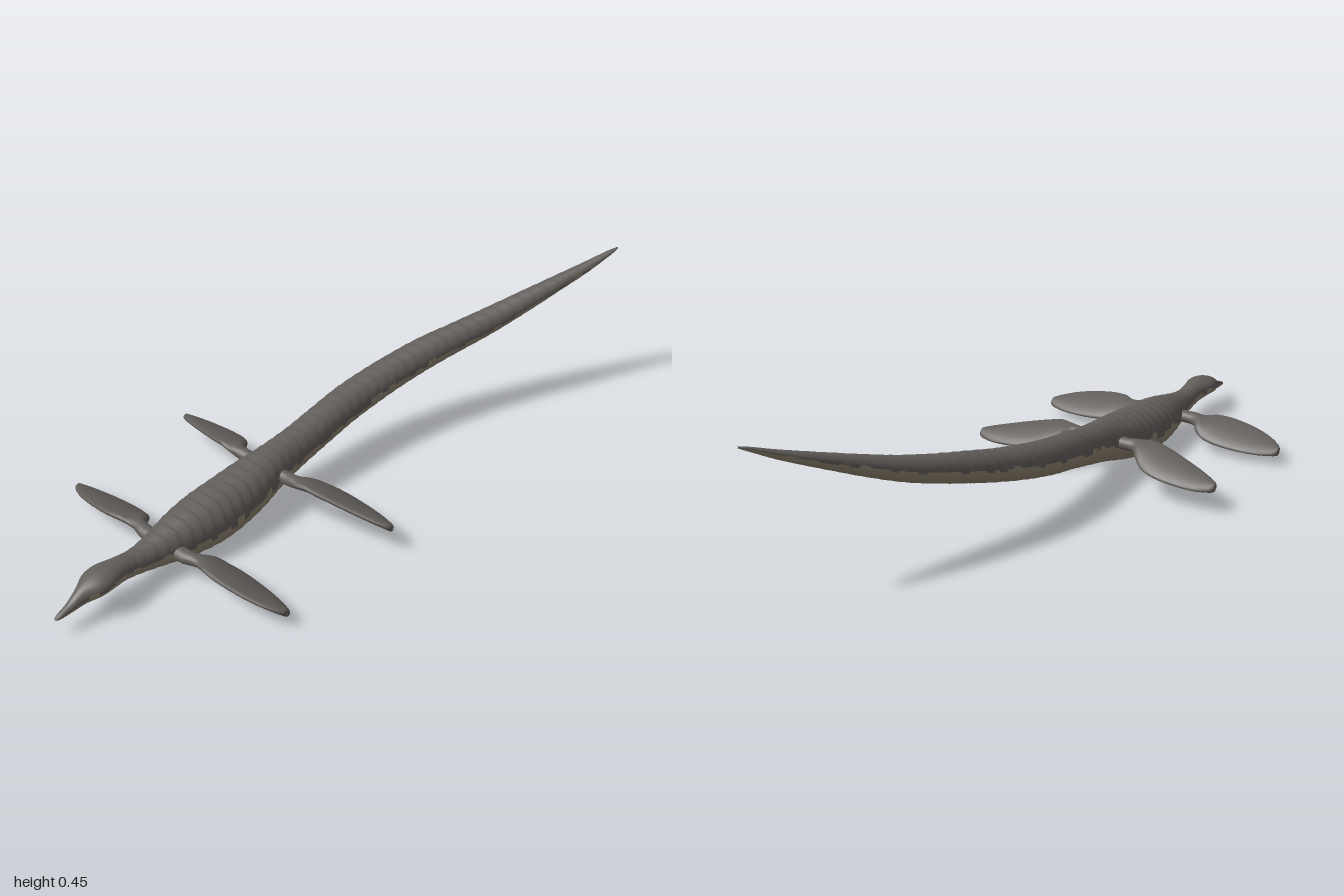
import * as THREE from 'three';

const dark = new THREE.MeshStandardMaterial({ color: 0x625e5b });
dark.name = 'slate back';
const tan = new THREE.MeshStandardMaterial({ color: 0x8f8370 });
tan.name = 'sandy belly';

// repeatable value in 0..1 for each whole number
const hash = (n) => {
  const s = Math.sin(n * 127.1 + 11.7) * 43758.5453;
  return s - Math.floor(s);
};

// skin closed rings: point(i, angle) gives a vertex, isBelly(i, angle) picks the second material
function loft(rows, sides, point, isBelly = () => false) {
  const positions = [], upper = [], lower = [];
  for (let i = 0; i <= rows; i++) {
    for (let j = 0; j < sides; j++) positions.push(...point(i, (j / sides) * Math.PI * 2));
  }
  for (let i = 0; i < rows; i++) {
    for (let j = 0; j < sides; j++) {
      const a = i * sides + j, b = i * sides + ((j + 1) % sides);
      const list = isBelly(i, ((j + 0.5) / sides) * Math.PI * 2) ? lower : upper;
      list.push(a, a + sides, b, b, a + sides, b + sides);
    }
  }
  const geo = new THREE.BufferGeometry();
  geo.setAttribute('position', new THREE.Float32BufferAttribute(positions, 3));
  geo.setIndex([...upper, ...lower]);
  geo.addGroup(0, upper.length, 0);
  geo.addGroup(upper.length, lower.length, 1);
  geo.computeVertexNormals();
  return geo;
}

// body stations from snout to tail tip: z, centre x, bottom y, top y, half width
const stations = [
  [1.0, 0, 0.05, 0.054, 0.003], [0.985, 0, 0.047, 0.061, 0.009],
  [0.95, 0, 0.048, 0.076, 0.014], [0.91, 0, 0.053, 0.101, 0.024],
  [0.87, 0, 0.058, 0.117, 0.044], [0.83, 0, 0.06, 0.123, 0.046],
  [0.78, 0, 0.054, 0.12, 0.036], [0.73, 0, 0.045, 0.114, 0.036],
  [0.68, 0, 0.034, 0.118, 0.042], [0.62, 0, 0.022, 0.13, 0.056],
  [0.55, 0, 0.01, 0.144, 0.072], [0.47, 0, 0.003, 0.155, 0.082],
  [0.39, 0, 0.007, 0.162, 0.082], [0.3, 0, 0.025, 0.172, 0.076],
  [0.2, 0, 0.053, 0.183, 0.06], [0.1, 0, 0.077, 0.194, 0.055],
  [0, 0, 0.1, 0.21, 0.055], [-0.1, 0.0, 0.12, 0.227, 0.055],
  [-0.2, 0.01, 0.142, 0.245, 0.054], [-0.3, 0.028, 0.167, 0.264, 0.052],
  [-0.4, 0.055, 0.194, 0.286, 0.05], [-0.5, 0.09, 0.222, 0.306, 0.046],
  [-0.6, 0.13, 0.254, 0.329, 0.042], [-0.7, 0.174, 0.296, 0.358, 0.036],
  [-0.8, 0.22, 0.343, 0.389, 0.028], [-0.9, 0.267, 0.392, 0.421, 0.019],
  [-0.97, 0.3, 0.432, 0.446, 0.01], [-1.0, 0.313, 0.45, 0.454, 0.003],
];

function makeBody() {
  const v = (x, y, z) => new THREE.Vector3(x, y, z);
  const spine = new THREE.CatmullRomCurve3(
    stations.map(([z, x, lo, hi]) => v(x, (lo + hi) / 2, z)), false, 'catmullrom', 0.5);
  const girth = new THREE.CatmullRomCurve3(
    stations.map(([z, , lo, hi, w]) => v(w, (hi - lo) / 2, z)), false, 'catmullrom', 0.5);
  const rows = 432;
  const rings = [];
  for (let i = 0; i <= rows; i++) {
    rings.push({ c: spine.getPoint(i / rows), r: girth.getPoint(i / rows) });
  }
  const point = (i, a) => {
    const { c, r } = rings[i];
    // overlapping bands of scales behind the head
    const band = (1 - c.z) / 0.036 + 0.12 * Math.sin(a * 5);
    const ridge = c.z < 0.76 ? 0.035 * (band - Math.floor(band) - 0.6) : 0;
    const k = 1 + ridge;
    return [c.x + r.x * k * Math.cos(a), c.y + r.y * k * Math.sin(a), c.z];
  };
  // uneven edge between back and belly, stepping from scale to scale
  const isBelly = (i, a) => {
    const z = rings[i].c.z;
    const patch = Math.floor((1 - z) / 0.024) + (Math.cos(a) > 0 ? 0 : 200);
    return Math.sin(a) < -0.08 + 0.3 * (hash(patch) - 0.3);
  };
  return new THREE.Mesh(loft(rows, 40, point, isBelly), [dark, tan]);
}

// paddle outlines from shoulder to tip: x, rear z, front z
const frontOutline = [
  [0.03, 0.59, 0.635], [0.08, 0.59, 0.635], [0.11, 0.58, 0.628], [0.135, 0.55, 0.628],
  [0.17, 0.534, 0.638], [0.22, 0.527, 0.643], [0.29, 0.529, 0.636], [0.35, 0.538, 0.62],
  [0.39, 0.55, 0.6], [0.407, 0.56, 0.585], [0.411, 0.571, 0.573],
];
const rearOutline = [
  [0.03, 0.2, 0.24], [0.08, 0.2, 0.24], [0.11, 0.195, 0.242], [0.135, 0.165, 0.245],
  [0.17, 0.137, 0.243], [0.22, 0.122, 0.233], [0.29, 0.119, 0.213], [0.35, 0.124, 0.193],
  [0.39, 0.136, 0.176], [0.403, 0.145, 0.166], [0.407, 0.154, 0.157],
];

function makeFlipper(outline, side, rootY, tipY, pivotZ) {
  const mid = new THREE.CatmullRomCurve3(
    outline.map(([x, b, f]) => new THREE.Vector3(x, (f - b) / 2, (b + f) / 2)), false, 'catmullrom', 0.5);
  const rows = 60;
  const point = (i, angle) => {
    const a = angle * side;
    const p = mid.getPoint(i / rows);
    const along = THREE.MathUtils.clamp((p.x - 0.08) / 0.33, 0, 1);
    const thick = Math.min(p.y, 0.019 - 0.008 * along);
    const z = p.z + p.y * Math.cos(a);
    // blade droops outward and tips its leading edge up
    const y = rootY + (tipY - rootY) * along + (z - pivotZ) * 0.42 * Math.min(1, along * 4)
      + thick * Math.sin(a);
    return [side * p.x, y, z];
  };
  return new THREE.Mesh(loft(rows, 20, point), [dark, tan]);
}

export function createModel() {
  const model = new THREE.Group();
  model.name = 'marineReptile';
  const body = makeBody();
  body.name = 'body';
  model.add(body);
  for (const side of [1, -1]) {
    const label = side > 0 ? 'left' : 'right';
    const front = makeFlipper(frontOutline, side, 0.072, 0.046, 0.585);
    front.name = label + 'FrontFlipper';
    const rear = makeFlipper(rearOutline, side, 0.118, 0.088, 0.185);
    rear.name = label + 'RearFlipper';
    model.add(front, rear);
  }
  return model;
}
